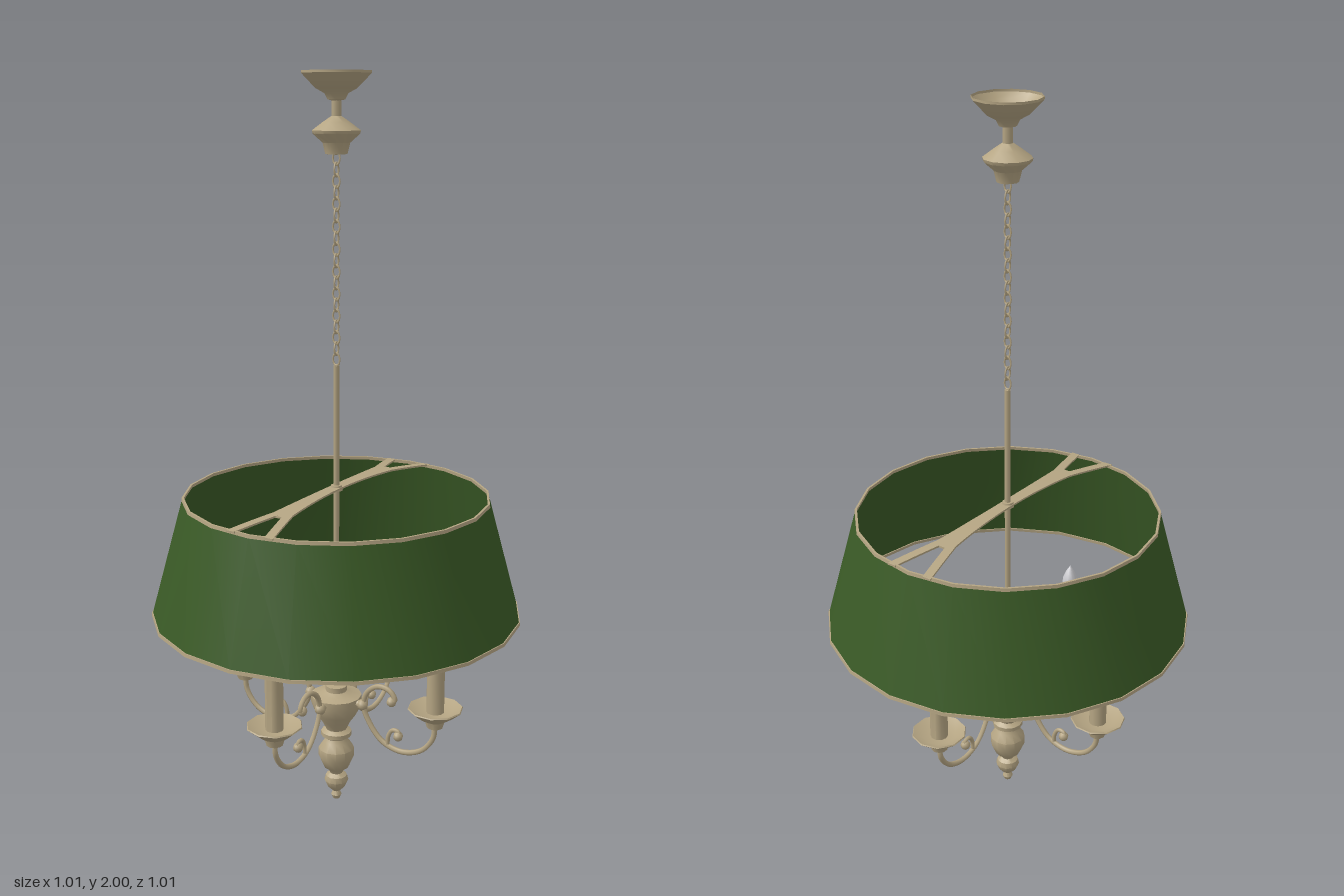
import * as THREE from 'three';
import { toCreasedNormals } from 'three/addons/utils/BufferGeometryUtils.js';

const brass = new THREE.MeshStandardMaterial({ color: 0xb5a583, side: THREE.DoubleSide });
brass.name = 'antique brass';
const green = new THREE.MeshStandardMaterial({ color: 0x3a5a26, side: THREE.DoubleSide });
green.name = 'shade green';
const glass = new THREE.MeshStandardMaterial({ color: 0xccccd0 });
glass.name = 'bulb glass';

function add(parent, name, geometry, material) {
  const mesh = new THREE.Mesh(geometry, material);
  mesh.name = name;
  parent.add(mesh);
  return mesh;
}

// Turned part from [radius, height] pairs, listed bottom to top
function turned(profile, sides, phase = 0) {
  const pts = profile.map(([r, y]) => new THREE.Vector2(r, y));
  return toCreasedNormals(new THREE.LatheGeometry(pts, sides, phase), 0.7);
}

// Round bar through [x, y] pairs
function bar(points, radius, steps) {
  const curve = new THREE.CatmullRomCurve3(points.map(([x, y]) => new THREE.Vector3(x, y, 0)));
  return new THREE.TubeGeometry(curve, steps, radius, 6);
}

// Flat strip along z, arched, with centre line and half width given by rules
function strip(z0, z1, centre, half) {
  const geo = new THREE.BoxGeometry(2, 0.005, 1, 1, 1, 12);
  const p = geo.attributes.position;
  for (let i = 0; i < p.count; i++) {
    const t = p.getZ(i) + 0.5;
    const z = z0 + (z1 - z0) * t;
    p.setXYZ(i, centre(t) + p.getX(i) * half(t), p.getY(i) + 0.923 - 0.022 * (z / 0.41) ** 2, z);
  }
  geo.computeVertexNormals();
  return toCreasedNormals(geo, 0.7);
}

function makeArm() {
  const arm = new THREE.Group();
  // Main S-scroll from the pan down, round and up to the inner curl
  add(arm, 'scrollArm', bar([[0.31, 0.31], [0.305, 0.265], [0.27, 0.22], [0.21, 0.2], [0.15, 0.215],
    [0.108, 0.26], [0.088, 0.31], [0.1, 0.352], [0.135, 0.376], [0.172, 0.37], [0.187, 0.345],
    [0.172, 0.333]], 0.0075, 48), brass);
  add(arm, 'lowerCurl', bar([[0.165, 0.208], [0.167, 0.235], [0.18, 0.257], [0.2, 0.255], [0.203, 0.24]],
    0.006, 14), brass);
  for (const [x, y, r] of [[0.176, 0.34, 0.014], [0.198, 0.243, 0.014], [0.085, 0.31, 0.016]]) {
    add(arm, 'scrollKnob', new THREE.SphereGeometry(r, 8, 6), brass).position.set(x, y, 0);
  }
  add(arm, 'armJoint', new THREE.CylinderGeometry(0.01, 0.01, 0.05, 8).rotateZ(Math.PI / 2), brass)
    .position.set(0.07, 0.31, 0);

  // Drip pan, candle tube and flame-shaped bulb
  const light = new THREE.Group();
  light.name = 'candleLight';
  light.position.x = 0.31;
  arm.add(light);
  add(light, 'dripPan', turned([[0, 0.298], [0.022, 0.3], [0.028, 0.32], [0.048, 0.332], [0.075, 0.354],
    [0.073, 0.357], [0.045, 0.345], [0, 0.343]], 10, Math.PI / 10), brass);
  add(light, 'candleTube', turned([[0.024, 0.342], [0.024, 0.512], [0, 0.512]], 10), brass);
  add(light, 'bulb', turned([[0.017, 0.512], [0.023, 0.528], [0.021, 0.55], [0.012, 0.572], [0, 0.59]], 10), glass);
  return arm;
}

export function createModel() {
  const model = new THREE.Group();
  model.name = 'pendantChandelier';

  // Ceiling canopy, neck and chain holder
  add(model, 'ceilingCanopy', turned([[0, 1.925], [0.022, 1.93], [0.03, 1.945], [0.052, 1.957],
    [0.075, 1.98], [0.088, 1.994], [0.088, 2]], 12), brass);
  add(model, 'canopyNeck', new THREE.CylinderGeometry(0.013, 0.013, 0.06, 10), brass).position.y = 1.905;
  add(model, 'chainHolder', turned([[0, 1.795], [0.028, 1.797], [0.035, 1.825], [0.06, 1.847], [0.062, 1.855],
    [0.035, 1.875], [0.013, 1.89]], 12), brass);

  // Chain of links, each turned a quarter from the last
  const links = 19;
  const linkGeo = new THREE.TorusGeometry(0.0105, 0.0025, 5, 10).scale(1, 1.6, 1);
  for (let i = 0; i < links; i++) {
    const link = add(model, 'chainLink', linkGeo, brass);
    link.position.y = 1.272 + (i * 0.515) / (links - 1);
    link.rotation.y = (i % 2) * Math.PI / 2;
  }

  // Central rod
  add(model, 'centralRod', new THREE.CylinderGeometry(0.008, 0.008, 0.93, 8), brass).position.y = 0.79;

  // Turned body with finial
  add(model, 'turnedBody', turned([[0, 0], [0.01, 0.003], [0.015, 0.014], [0.01, 0.026], [0.026, 0.042],
    [0.034, 0.06], [0.03, 0.075], [0.018, 0.083], [0.024, 0.095], [0.036, 0.103], [0.05, 0.135],
    [0.05, 0.16], [0.035, 0.182], [0.03, 0.192], [0.043, 0.2], [0.043, 0.212], [0.03, 0.22],
    [0.042, 0.245], [0.06, 0.27], [0.071, 0.3], [0.071, 0.322], [0.045, 0.328], [0.03, 0.335],
    [0.03, 0.35], [0, 0.352]], 12), brass);

  // Four candle arms
  for (let i = 0; i < 4; i++) {
    const arm = makeArm();
    arm.name = 'candleArm';
    arm.rotation.y = i * Math.PI / 2;
    model.add(arm);
  }

  // Tapered shade with a thin trim on each rim
  const rb = 0.502, rt = 0.413;
  add(model, 'shade', turned([[rb, 0.576], [rt, 0.9]], 20), green);
  for (const [r, y, name] of [[rb, 0.573, 'lowerTrim'], [rt, 0.895, 'upperTrim']]) {
    add(model, name, turned([[r - 0.004, y], [r + 0.002, y], [r + 0.001, y + 0.009],
      [r - 0.005, y + 0.009], [r - 0.004, y]], 20), brass);
  }

  // Arched shade carrier, forked at front and back
  for (const s of [1, -1]) {
    const half = new THREE.Group();
    half.name = 'shadeCarrier';
    half.rotation.y = s > 0 ? 0 : Math.PI;
    model.add(half);
    add(half, 'carrierStem', strip(0, 0.28, () => 0, (t) => 0.017 + 0.014 * t * t), brass);
    for (const side of [1, -1]) {
      add(half, 'carrierFork', strip(0.26, 0.41, (t) => side * (0.017 + 0.04 * t), () => 0.0125), brass);
    }
  }
  add(model, 'carrierHub', new THREE.CylinderGeometry(0.015, 0.018, 0.014, 10), brass).position.y = 0.923;

  return model;
}
